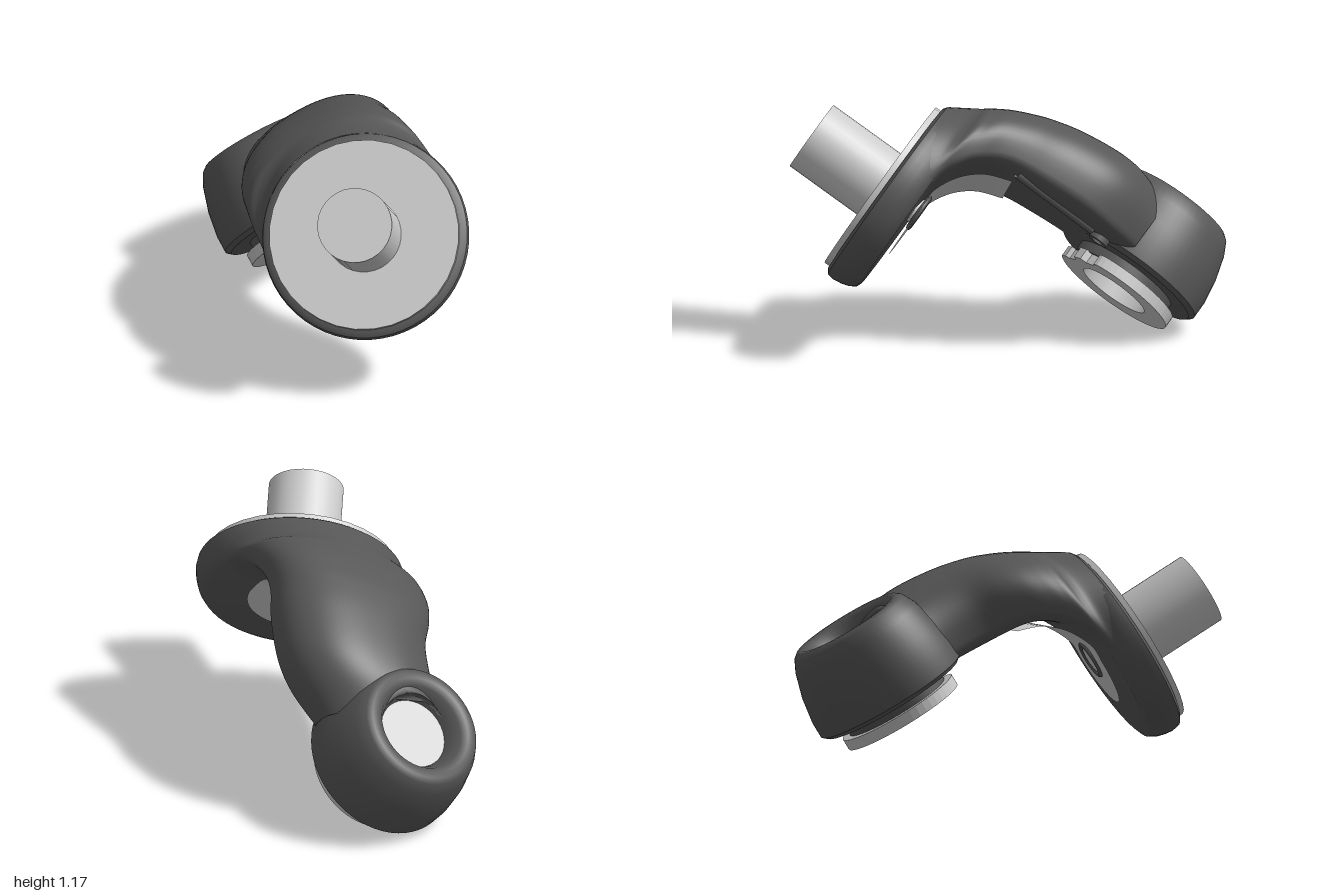
import * as THREE from 'three';
import { toCreasedNormals } from 'three/addons/utils/BufferGeometryUtils.js';

const light = new THREE.MeshStandardMaterial({ color: 0xcccccc, side: THREE.DoubleSide });
const dark = new THREE.MeshStandardMaterial({ color: 0x575757, side: THREE.DoubleSide });

function add(parent, name, geometry, material) {
  const mesh = new THREE.Mesh(geometry, material);
  mesh.name = name;
  parent.add(mesh);
  return mesh;
}

function lathe(points, segments = 56) {
  const g = new THREE.LatheGeometry(points.map(p => new THREE.Vector2(...p)), segments);
  return toCreasedNormals(g, 0.7);
}

// Catmull-Rom interpolation of table rows
function sample(rows, f) {
  const n = rows.length - 1;
  const i = Math.min(Math.floor(f * n), n - 1), k = f * n - i;
  const [p0, p1, p2, p3] = [-1, 0, 1, 2].map(d => rows[Math.max(0, Math.min(n, i + d))]);
  return p1.map((b, c) => {
    const m1 = (p2[c] - p0[c]) / 2, m2 = (p3[c] - b) / 2, d = p2[c] - b;
    return b + k * (m1 + k * (3 * d - 2 * m1 - m2 + k * (m1 + m2 - 2 * d)));
  });
}

// Surface through equal-length loops or rows of points
function skin(rows, closed) {
  const n = rows[0].length, index = [];
  for (let i = 0; i < rows.length - 1; i++) {
    for (let j = 0; j < (closed ? n : n - 1); j++) {
      const a = i * n + j, b = i * n + (j + 1) % n;
      index.push(a, a + n, b, b, a + n, b + n);
    }
  }
  const g = new THREE.BufferGeometry();
  g.setAttribute('position', new THREE.Float32BufferAttribute(rows.flat(2), 3));
  g.setIndex(index);
  g.computeVertexNormals();
  return g;
}

// Arm: round at the flange, D-shaped with a flat underside further back
function armGeometry() {
  // depth, underside, crown, half width, side shift, roundness of the underside
  const stations = [
    [0.05, -0.48, 0.49, 0.483, 0, 1],
    [0.14, -0.43, 0.55, 0.467, 0, 1],
    [0.18, -0.2, 0.575, 0.46, -0.005, 0.8],
    [0.21, 0.07, 0.595, 0.45, -0.01, 0.6],
    [0.25, 0.18, 0.62, 0.44, -0.015, 0.5],
    [0.30, 0.26, 0.65, 0.43, -0.02, 0.45],
    [0.38, 0.325, 0.69, 0.415, -0.03, 0.45],
    [0.48, 0.36, 0.73, 0.40, -0.03, 0.45],
    [0.64, 0.375, 0.77, 0.385, -0.02, 0.45],
    [0.85, 0.395, 0.80, 0.385, -0.06, 0.45],
    [1.00, 0.405, 0.795, 0.385, -0.14, 0.45],
    [1.15, 0.42, 0.745, 0.36, -0.255, 0.5],
  ];
  const rows = [];
  for (let i = 0; i <= 66; i++) {
    const [t, lo, hi, w, shift, e] = sample(stations, i / 66);
    const mid = lo + (hi - lo) * (0.1 + 0.4 * e);
    rows.push(Array.from({ length: 72 }, (_, j) => {
      const q = j / 72 * Math.PI * 2, c = Math.cos(q), s = Math.sin(q);
      const p = s < 0 ? e : 0.75 + 0.25 * e;
      const x = shift + w * Math.sign(c) * Math.abs(c) ** p, y = Math.abs(s) ** p;
      // keep clear of the rear bore
      const dx = x + 0.288, dt = t - 1.187;
      const push = Math.max(1, 0.19 / Math.hypot(dx, dt));
      return [-0.288 + dx * push, s < 0 ? mid - (mid - lo) * y : mid + (hi - mid) * y, -1.187 - dt * push];
    }));
  }
  return skin(rows, true);
}

// Inlay: half-round on the flange back, then a strip bending up under the arm
function inlayGeometry() {
  const path = [[0.225, 0, 0], [0.225, 0.08, 0], [0.262, 0.17, 0], [0.315, 0.243, -0.01],
    [0.39, 0.302, -0.02], [0.5, 0.345, -0.03]];
  const rows = [];
  for (let i = 0; i <= 12; i++) {
    const q = i / 12 * Math.PI / 2, w = Math.max(0.24 * Math.sin(q), 0.001);
    rows.push([-1, 0, 1].map(k => [k * w, -0.24 * Math.cos(q), -0.225]));
  }
  for (let i = 1; i <= 30; i++) {
    const [t, v, s] = sample(path, i / 30);
    rows.push([-1, 0, 1].map(k => [s + 0.24 * k, v, -t]));
  }
  return skin(rows, false);
}

// Cover ring with a stepped front edge
function coverGeometry() {
  const shape = new THREE.Shape();
  shape.absarc(0, 0, 0.3, Math.PI * 0.71, Math.PI * 2.29, false);
  for (const [x, y] of [[0.16, 0.25], [0.13, 0.25], [0.11, 0.23], [0.05, 0.24], [0.03, 0.268],
    [-0.03, 0.268], [-0.05, 0.24], [-0.12, 0.23], [-0.14, 0.245]]) shape.lineTo(x, y);
  shape.closePath();
  const hole = new THREE.Path();
  hole.absarc(0, 0, 0.175, 0, Math.PI * 2, true);
  shape.holes.push(hole);
  return new THREE.ExtrudeGeometry(shape, { depth: 0.055, bevelEnabled: false, curveSegments: 20 }).rotateX(Math.PI / 2);
}

export function createModel() {
  const model = new THREE.Group();
  model.name = 'elbowLink';

  // Front end: local z runs out along the shaft, y towards the arm
  const axis = new THREE.Vector3(-0.55, 0.555, 0.63).normalize();
  const joint = new THREE.Vector3(-0.1, 0.705, -0.7).normalize();
  const side = joint.clone().cross(axis).normalize();
  const up = axis.clone().cross(side);
  const front = new THREE.Group();
  front.name = 'frontEnd';
  front.quaternion.setFromRotationMatrix(new THREE.Matrix4().makeBasis(side, up, axis));
  front.position.set(-0.19, 0.78, 0.61);
  model.add(front);

  add(front, 'shaft', new THREE.CylinderGeometry(0.178, 0.178, 0.42, 32).rotateX(Math.PI / 2), light).position.z = 0.19;
  add(front, 'frontDisc', new THREE.CylinderGeometry(0.452, 0.452, 0.05, 32).rotateX(Math.PI / 2), light).position.z = -0.025;
  add(front, 'flange', lathe([[0, -0.2], [0.43, -0.2], [0.455, -0.19], [0.475, -0.16], [0.487, -0.12], [0.493, -0.08],
    [0.487, -0.045], [0.465, -0.03], [0.4, -0.03]]).rotateX(Math.PI / 2), dark);
  add(front, 'arm', armGeometry(), dark);
  add(front, 'undersideInlay', inlayGeometry(), light);

  // Screw at the back of the flange
  add(front, 'screwRim', new THREE.TorusGeometry(0.085, 0.012, 8, 32), dark).position.z = -0.226;
  add(front, 'screwHead', new THREE.CylinderGeometry(0.065, 0.065, 0.03, 28).rotateX(Math.PI / 2), light).position.z = -0.215;

  // Rail and small lug under the arm
  const railPath = new THREE.LineCurve3(new THREE.Vector3(0.29, 0.375, -0.5), new THREE.Vector3(0.1, 0.405, -0.94));
  add(front, 'rail', new THREE.TubeGeometry(railPath, 1, 0.025, 12), dark);
  const lug = new THREE.Group();
  lug.name = 'lug';
  lug.position.set(0.055, 0.4, -0.99);
  front.add(lug);
  add(lug, 'lugBody', new THREE.CylinderGeometry(0.05, 0.05, 0.04, 20), dark);
  add(lug, 'lugScrew', new THREE.CylinderGeometry(0.026, 0.026, 0.046, 16), light);

  // Rear end: local y runs along the joint axis, out through the top
  const rear = new THREE.Group();
  rear.name = 'rearEnd';
  rear.quaternion.setFromUnitVectors(new THREE.Vector3(0, 1, 0), joint);
  rear.position.set(0.18, 0.28, -0.51);
  model.add(rear);

  add(rear, 'rearHousing', lathe([[0.175, -0.05], [0.26, -0.05], [0.26, 0], [0.36, 0], [0.383, 0.02], [0.383, 0.1],
    [0.365, 0.22], [0.33, 0.34], [0.3, 0.4], [0.275, 0.42], [0.245, 0.42], [0.215, 0.4], [0.185, 0.35],
    [0.17, 0.31]]), dark);
  add(rear, 'topCap', new THREE.CylinderGeometry(0.172, 0.172, 0.03, 40), light).position.y = 0.305;
  add(rear, 'bore', new THREE.CylinderGeometry(0.174, 0.174, 0.39, 40, 1, true), light).position.y = 0.1;
  add(rear, 'coverRing', coverGeometry(), light).position.y = -0.045;
  return model;
}
